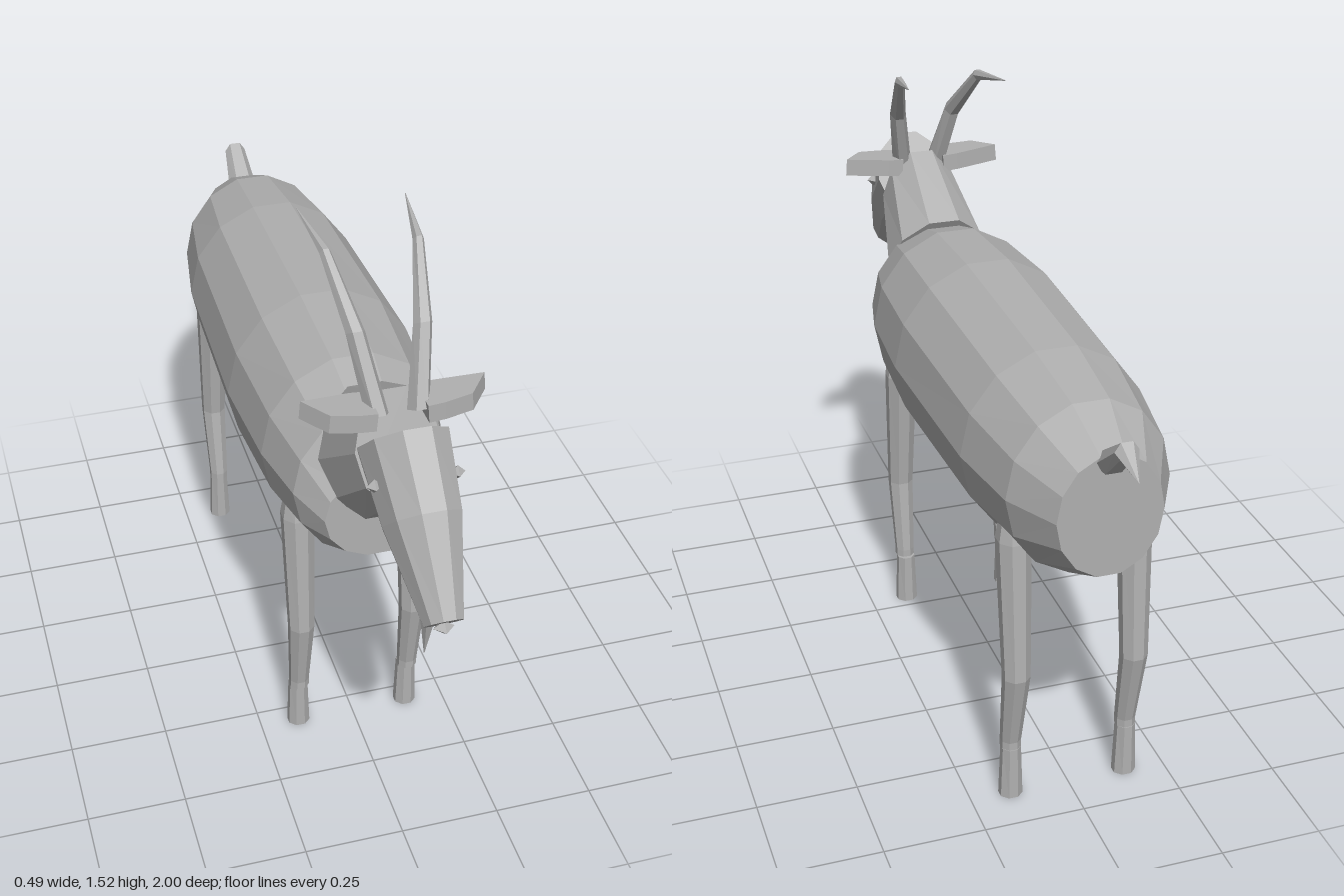
import * as THREE from 'three';

const coat = new THREE.MeshStandardMaterial({ color: 0xb0b0b0, flatShading: true });
coat.name = 'grey coat';

// Closed skin through rings [x, y, z, halfWidth, halfHeight, tilt in degrees].
// Rings run along (0, sin tilt, -cos tilt); a ring's "up" is (0, cos tilt, sin tilt).
function loft(rings, sides) {
  const pos = [], idx = [];
  for (const [x, y, z, rx, ry, tilt] of rings) {
    const a = THREE.MathUtils.degToRad(tilt);
    for (let j = 0; j < sides; j++) {
      const t = ((j + 0.5) / sides) * Math.PI * 2;
      const u = ry * Math.cos(t);
      pos.push(x + rx * Math.sin(t), y + u * Math.cos(a), z + u * Math.sin(a));
    }
  }
  for (let i = 0; i < rings.length - 1; i++) {
    for (let j = 0; j < sides; j++) {
      const k = (j + 1) % sides;
      const a = i * sides + j, b = i * sides + k, c = a + sides, d = b + sides;
      idx.push(a, b, c, b, d, c);
    }
  }
  // end caps
  const last = (rings.length - 1) * sides;
  for (let j = 1; j < sides - 1; j++) {
    idx.push(0, j + 1, j);
    idx.push(last, last + j, last + j + 1);
  }
  const g = new THREE.BufferGeometry();
  g.setAttribute('position', new THREE.Float32BufferAttribute(pos, 3));
  g.setIndex(idx);
  const flat = g.toNonIndexed();
  flat.computeVertexNormals();
  return flat;
}

export function createModel() {
  const model = new THREE.Group();
  model.name = 'goat';
  const add = (name, geometry, x = 0, y = 0, z = 0) => {
    const mesh = new THREE.Mesh(geometry, coat);
    mesh.name = name;
    mesh.position.set(x, y, z);
    model.add(mesh);
    return mesh;
  };

  // Barrel body, chest to rump
  add('body', loft([
    [0, 0.83, 0.51, 0.135, 0.125, 0],
    [0, 0.865, 0.43, 0.19, 0.21, 0],
    [0, 0.875, 0.27, 0.227, 0.247, 0],
    [0, 0.877, 0, 0.245, 0.262, 0],
    [0, 0.875, -0.5, 0.23, 0.245, 0],
    [0, 0.872, -0.72, 0.195, 0.218, 0],
    [0, 0.872, -0.855, 0.125, 0.152, 0],
  ], 14));

  // Neck
  add('neck', loft([
    [0, 1.103, 0.627, 0.1, 0.143, -18],
    [0, 0.968, 0.45, 0.135, 0.164, -30],
  ], 10));

  // Head, snout to poll
  add('head', loft([
    [0, 0.875, 0.964, 0.045, 0.055, 44],
    [0, 1.03, 0.8, 0.09, 0.115, 44],
    [0, 1.14, 0.655, 0.104, 0.14, 44],
  ], 10));
  const nose = add('nose', new THREE.OctahedronGeometry(0.022), 0, 0.865, 0.965);
  nose.scale.set(1.1, 0.8, 1);

  // Beard, tip upward
  add('beard', loft([
    [0, 0.69, 0.85, 0.001, 0.001, 90],
    [0, 0.86, 0.872, 0.026, 0.028, 90],
  ], 6));

  // Tail
  add('tail', loft([
    [0, 1.0, -0.845, 0.038, 0.03, 40],
    [0, 1.068, -0.928, 0.028, 0.024, 0],
    [0, 1.028, -0.998, 0.001, 0.001, -40],
  ], 6));

  // Ear outline seen from above
  const ear = new THREE.Shape([
    [0.06, 0.565], [0.1, 0.565], [0.215, 0.58], [0.165, 0.645], [0.1, 0.655], [0.06, 0.655],
  ].map(([x, z]) => new THREE.Vector2(x, -z)));
  const earGeometry = new THREE.ExtrudeGeometry(ear, { depth: 0.045, bevelEnabled: false });
  earGeometry.rotateX(-Math.PI / 2);
  earGeometry.rotateZ(0.08);

  for (const s of [1, -1]) {
    const side = s > 0 ? 'left' : 'right';

    const earMesh = add(side + 'Ear', earGeometry.clone(), 0, 1.17, 0);
    if (s < 0) {
      // half turn plus a z shift mirrors the ear, keeping its faces outward
      const p = earMesh.geometry.attributes.position;
      for (let i = 0; i < p.count; i++) p.setX(i, -p.getX(i));
      for (let i = 0; i < p.count; i += 3) {
        const b = new THREE.Vector3().fromBufferAttribute(p, i + 1);
        const c = new THREE.Vector3().fromBufferAttribute(p, i + 2);
        p.setXYZ(i + 1, c.x, c.y, c.z);
        p.setXYZ(i + 2, b.x, b.y, b.z);
      }
      earMesh.geometry.computeVertexNormals();
    }

    add(side + 'Eye', new THREE.OctahedronGeometry(0.018), s * 0.094, 1.105, 0.752);

    // Swept-back horn
    add(side + 'Horn', loft([
      [s * 0.047, 1.19, 0.615, 0.026, 0.034, 65],
      [s * 0.076, 1.36, 0.54, 0.022, 0.024, 56],
      [s * 0.106, 1.488, 0.405, 0.013, 0.015, 28],
      [s * 0.127, 1.515, 0.245, 0.001, 0.001, 8],
    ], 6));

    // Legs with a bent joint, each on a separate hoof: hoof, ankle, joint and shoulder z
    for (const [name, hoofZ, ankleZ, jointZ, topZ, topY] of [
      ['Front', 0.297, 0.308, 0.335, 0.306, 0.755],
      ['Back', -0.632, -0.63, -0.668, -0.64, 0.775],
    ]) {
      const x = s * 0.148;
      add(side + name + 'Leg', loft([
        [x, 0.14, ankleZ, 0.026, 0.026, 90],
        [x, 0.16, ankleZ, 0.026, 0.026, 90],
        [x, 0.365, jointZ, 0.034, 0.034, 90],
        [x, topY - 0.05, topZ, 0.042, 0.044, 90],
        [x, topY, topZ, 0.034, 0.034, 90],
      ], 8));
      add(side + name + 'Hoof', loft([
        [x, 0, hoofZ, 0.03, 0.028, 90],
        [x, 0.14, hoofZ, 0.025, 0.026, 90],
      ], 8));
    }
  }
  return model;
}
